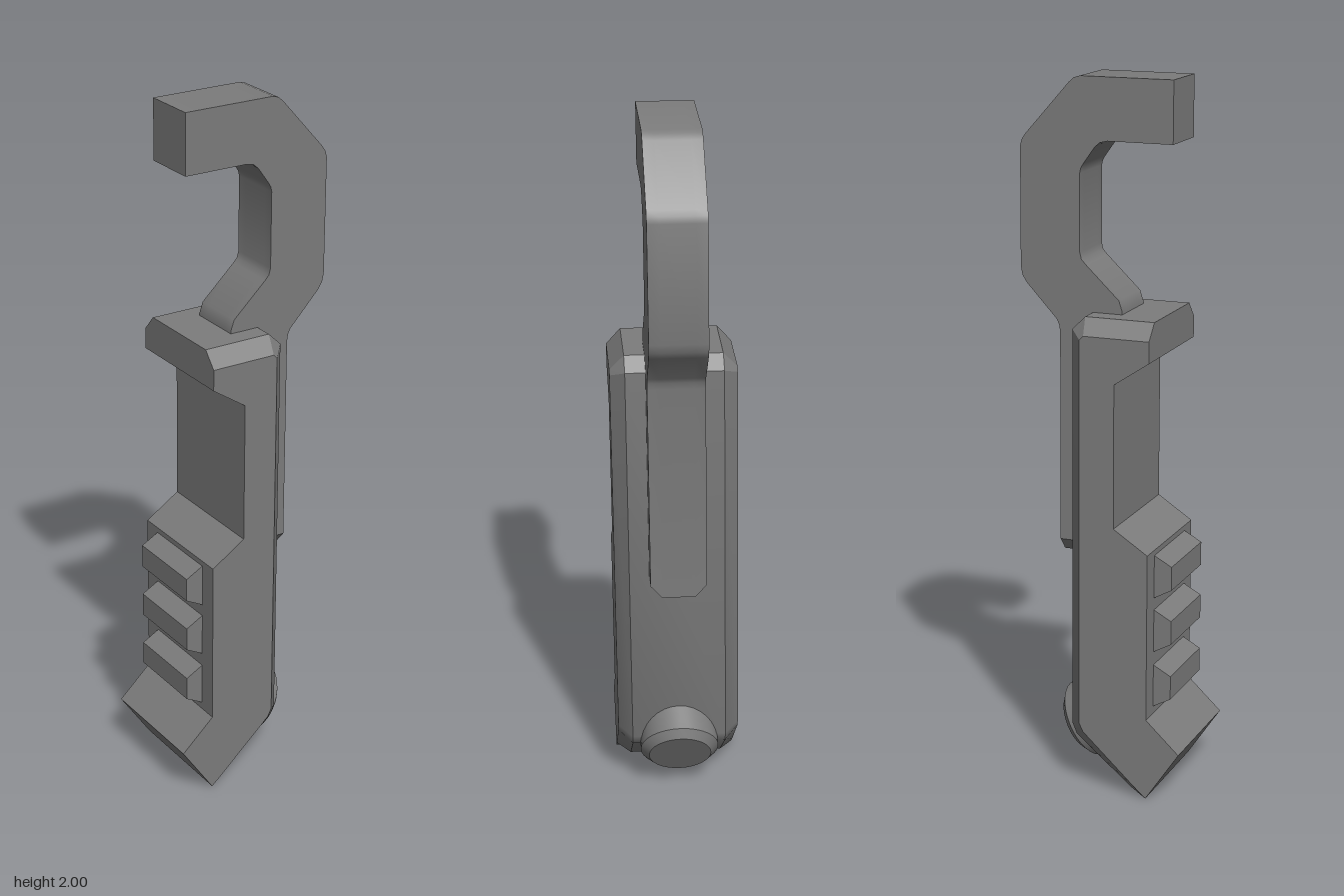
import * as THREE from 'three';
import { toCreasedNormals } from 'three/addons/utils/BufferGeometryUtils.js';

const steel = new THREE.MeshStandardMaterial({ color: 0x7c7c7c });
steel.name = 'grey steel';

// The whole piece leans very slightly sideways as it rises.
function finish(geometry) {
  const p = geometry.attributes.position;
  for (let i = 0; i < p.count; i++) p.setZ(i, p.getZ(i) - 0.006 + 0.0115 * p.getY(i));
  return toCreasedNormals(geometry, 0.5);
}

// Symmetric slab: a middle profile across +-zMid, narrowing to a side profile at +-zSide.
function bevelledSlab(mid, side, zMid, zSide) {
  const layers = [[side, -zSide], [mid, -zMid], [mid, zMid], [side, zSide]].map(([pts, z]) =>
    pts.map(([x, y]) => new THREE.Vector3(x, y, z)).reverse());
  const out = [];
  const add = (...vs) => vs.forEach((v) => out.push(v.x, v.y, v.z));
  const n = mid.length;
  for (let k = 0; k < 3; k++) {
    for (let i = 0; i < n; i++) {
      const j = (i + 1) % n;
      const [a, b, c, d] = [layers[k][i], layers[k][j], layers[k + 1][j], layers[k + 1][i]];
      add(a, b, c);
      add(a, c, d);
    }
  }
  const flat = layers[3].map((v) => new THREE.Vector2(v.x, v.y));
  for (const [a, b, c] of THREE.ShapeUtils.triangulateShape(flat, [])) {
    add(layers[3][a], layers[3][b], layers[3][c]);
    add(layers[0][c], layers[0][b], layers[0][a]);
  }
  const g = new THREE.BufferGeometry();
  g.setAttribute('position', new THREE.Float32BufferAttribute(out, 3));
  return finish(g);
}

export function createModel() {
  const model = new THREE.Group();
  const part = (name, geometry) => {
    const mesh = new THREE.Mesh(geometry, steel);
    mesh.name = name;
    model.add(mesh);
  };

  // Handle body: bevelled along the top, back and lower slope
  const grip = [[-0.16, 0.005], [-0.257, 0.15], [-0.16, 0.24], [-0.16, 0.72],
    [-0.06, 0.785], [-0.06, 1.19], [-0.16, 1.257]];
  const bodyMid = [[-0.16, 1.362], [0.04, 1.362], [0.078, 1.325], [0.078, 0.18], [0.065, 0.15],
    [-0.1, 0.015], ...grip];
  const bodySide = [[-0.16, 1.317], [0.03, 1.317], [0.041, 1.305], [0.041, 0.2], [0.03, 0.177],
    [-0.13, 0.031], ...grip];
  part('body', bevelledSlab(bodyMid, bodySide, 0.135, 0.175));

  // Hook with its stem; the stem foot has cut corners
  const hook = (foot) => [[-0.187, 2], [0.08, 2], [0.097, 1.995], [0.112, 1.982],
    [0.24, 1.838], [0.25, 1.823], [0.255, 1.805], [0.255, 1.475], [0.25, 1.45], [0.237, 1.43],
    [0.148, 1.335], [0.141, 1.32], [0.138, 1.3], [0.138, foot], [0.06, foot], [0.06, 1.3],
    [-0.045, 1.34], [-0.045, 1.37], [-0.035, 1.4], [0.063, 1.493], [0.075, 1.506], [0.08, 1.525],
    [0.08, 1.74], [0.077, 1.754], [0.07, 1.766], [0.037, 1.812], [0.022, 1.825], [0, 1.83],
    [-0.187, 1.83]];
  part('hook', bevelledSlab(hook(0.668), hook(0.705), 0.047, 0.079));

  // Three tapered grip ribs
  for (const y of [0.643, 0.485, 0.323]) {
    const rib = [[-0.15, y + 0.067], [-0.15, y - 0.067], [-0.211, y - 0.034], [-0.211, y + 0.034]];
    part('gripRib', bevelledSlab(rib, rib, 0.06, 0.12));
  }

  // Round button set square to its tilted axis
  const profile = [[0, -0.14], [0.113, -0.14], [0.113, -0.022], [0.09, 0], [0, 0]];
  const button = new THREE.LatheGeometry(profile.map(([r, h]) => new THREE.Vector2(r, h)), 32);
  button.rotateZ(-2 * Math.PI / 3);
  button.translate(0.105, 0.1325, 0);
  part('button', finish(button));

  return model;
}
